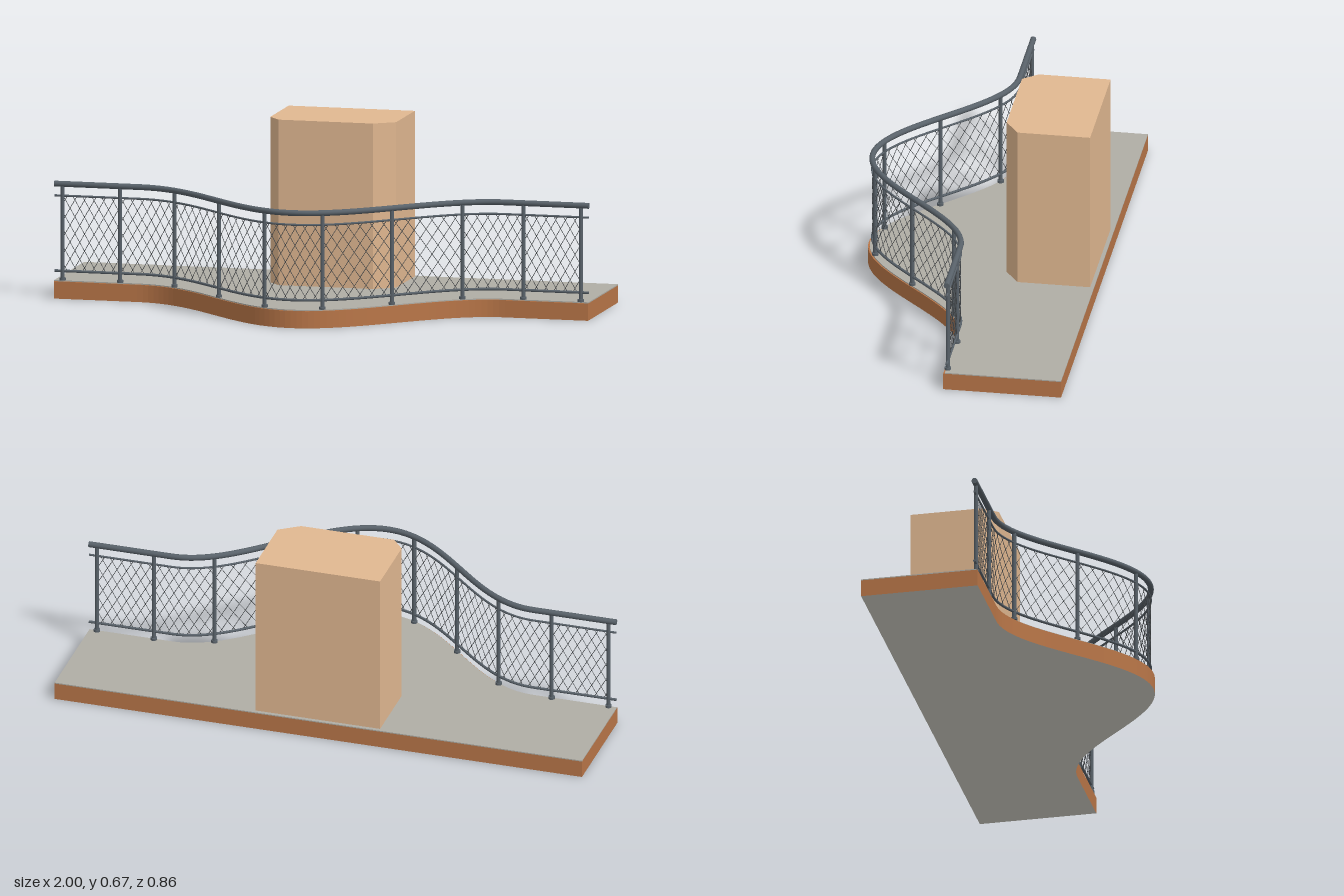
import * as THREE from 'three';
import { mergeGeometries } from 'three/addons/utils/BufferGeometryUtils.js';

const material = (name, color) => {
  const m = new THREE.MeshStandardMaterial({ color });
  m.name = name;
  return m;
};

// Bell-shaped bulge of the balcony: 1 in the middle, 0 on the straight ends
const HALF_WIDTH = 0.685;
const bulge = x => Math.abs(x) < HALF_WIDTH ? 0.5 + 0.5 * Math.cos(Math.PI * x / HALF_WIDTH) : 0;
const edgeZ = x => 0.432 * bulge(x);
const railZ = x => -0.012 + 0.429 * bulge(x);

const STEPS = 96;
const SLAB_TOP = 0.063, FLOOR_TOP = 0.067;
const LOW = 0.101, HIGH = 0.377;

// Footprint in x and z, extruded upward
function extrudeUp(points, height) {
  const shape = new THREE.Shape(points.map(([x, z]) => new THREE.Vector2(x, -z)));
  return new THREE.ExtrudeGeometry(shape, { depth: height, bevelEnabled: false }).rotateX(-Math.PI / 2);
}

// Balcony footprint, its curved front moved back by an inset
function footprint(inset) {
  const points = [[1, -0.432], [-1, -0.432]];
  for (let i = 0; i <= STEPS; i++) {
    const x = -1 + 2 * i / STEPS;
    points.push([x, edgeZ(x) - inset]);
  }
  return points;
}

// Line that follows the railing at one height
function railPath(y) {
  const points = [];
  for (let i = 0; i <= STEPS; i++) {
    const x = -1 + 2 * i / STEPS;
    points.push(new THREE.Vector3(x, y, railZ(x)));
  }
  return new THREE.CatmullRomCurve3(points);
}

// Round rail with closed ends
function railGeometry(y, radius, sides) {
  const parts = [new THREE.TubeGeometry(railPath(y), STEPS, radius, sides)];
  for (const side of [-1, 1]) {
    parts.push(new THREE.CircleGeometry(radius, sides).rotateY(side * Math.PI / 2).translate(side, y, railZ(1)));
  }
  return mergeGeometries(parts);
}

// Crossed diagonal wires that follow the curve
function wireMesh() {
  const end = 0.97, run = 0.16, pitch = 0.036;
  const wires = [];
  for (let s = -end - run + pitch / 2; s < end; s += pitch) {
    const from = Math.max(s, -end), to = Math.min(s + run, end);
    if (to - from < 0.01) continue;
    for (const rising of [true, false]) {
      const points = [];
      for (let i = 0; i <= 6; i++) {
        const x = from + (to - from) * i / 6;
        const t = (x - s) / run;
        points.push(new THREE.Vector3(x, LOW + (HIGH - LOW) * (rising ? t : 1 - t), railZ(x)));
      }
      wires.push(new THREE.TubeGeometry(new THREE.CatmullRomCurve3(points), 8, 0.0011, 4));
    }
  }
  return mergeGeometries(wires);
}

export function createModel() {
  const concrete = material('concrete grey', 0xb0ada5);
  const soffit = material('pale underside', 0xd4d2c8);
  const wood = material('brown fascia', 0xb97648);
  const tan = material('tan wall', 0xe1b891);
  const steel = material('dark steel', 0x59626a);
  const wire = material('wire', 0x484c4f);

  const model = new THREE.Group();
  model.name = 'balcony';
  const add = (name, geometry, mat, parent = model) => {
    const mesh = new THREE.Mesh(geometry, mat);
    mesh.name = name;
    parent.add(mesh);
    return mesh;
  };

  // Brown slab with a pale underside and a thin grey floor set back from its front edge
  add('slab', extrudeUp(footprint(0), SLAB_TOP - 0.002), wood).position.y = 0.002;
  add('underside', extrudeUp(footprint(0), 0.002), [soffit, wood]);
  add('floor', extrudeUp(footprint(0.006), FLOOR_TOP - SLAB_TOP), concrete).position.y = SLAB_TOP;

  // Block with two cut front corners
  const block = extrudeUp([
    [-0.23, -0.418], [-0.23, -0.155], [-0.185, -0.1],
    [0.168, -0.1], [0.242, -0.152], [0.242, -0.418],
  ], 0.674 - FLOOR_TOP);
  add('wallBlock', block, tan).position.y = FLOOR_TOP;

  // Railing
  const railing = new THREE.Group();
  railing.name = 'railing';
  model.add(railing);
  add('handrail', railGeometry(0.42, 0.0108, 12), steel, railing);
  add('upperRail', railGeometry(HIGH, 0.004, 8), steel, railing);
  add('lowerRail', railGeometry(LOW, 0.005, 8), steel, railing);
  add('wireMesh', wireMesh(), wire, railing);

  // Posts with foot plates, evenly spaced
  const postGeometry = new THREE.CylinderGeometry(0.0075, 0.0075, 0.346, 12);
  const footGeometry = new THREE.CylinderGeometry(0.012, 0.012, 0.009, 12);
  const POSTS = 10;
  for (let i = 0; i < POSTS; i++) {
    const x = -0.97 + 1.94 * i / (POSTS - 1);
    const post = new THREE.Group();
    post.name = 'post';
    post.position.set(x, FLOOR_TOP, railZ(x));
    add('postShaft', postGeometry, steel, post).position.y = 0.173;
    add('postFoot', footGeometry, steel, post).position.y = 0.0045;
    railing.add(post);
  }
  return model;
}
